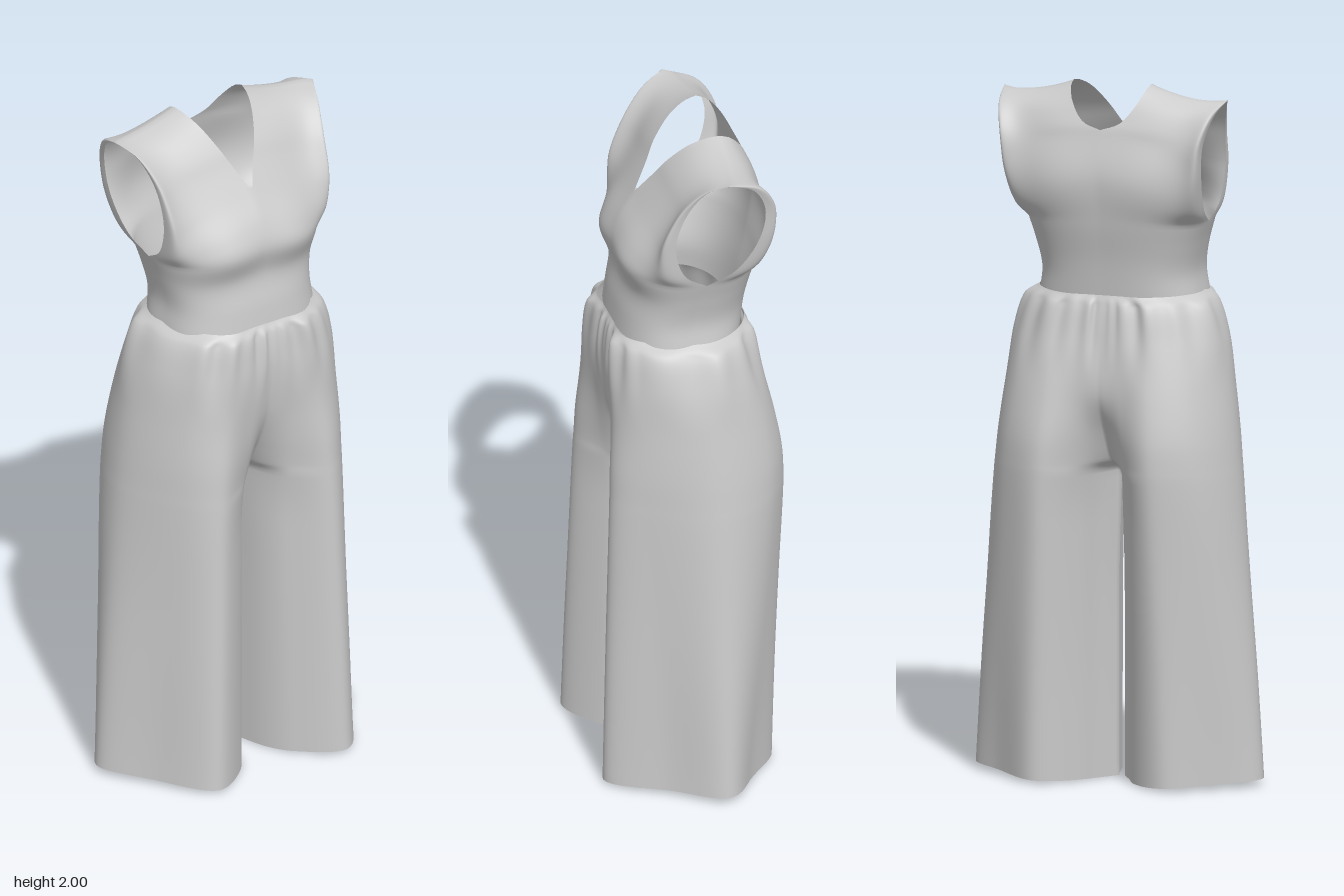
import * as THREE from 'three';
import { mergeGeometries, mergeVertices } from 'three/addons/utils/BufferGeometryUtils.js';

const { lerp, smoothstep } = THREE.MathUtils;
const spline = pts => new THREE.CatmullRomCurve3(pts.map(p => new THREE.Vector3(...p)));

// Grid surface from f(u, v) -> [x, y, z]; flip turns the faces, sx mirrors in x
function grid(nu, nv, f, flip, sx) {
  const pos = [], idx = [];
  for (let j = 0; j <= nv; j++) {
    for (let i = 0; i <= nu; i++) {
      const [x, y, z] = f(i / nu, j / nv);
      pos.push(sx * x, y, z);
    }
  }
  for (let j = 0; j < nv; j++) {
    for (let i = 0; i < nu; i++) {
      const a = j * (nu + 1) + i, b = a + 1, d = a + nu + 1, c = d + 1;
      if (flip !== (sx < 0)) idx.push(a, c, b, a, d, c);
      else idx.push(a, b, c, a, c, d);
    }
  }
  const g = new THREE.BufferGeometry();
  g.setAttribute('position', new THREE.Float32BufferAttribute(pos, 3));
  g.setIndex(idx);
  return g;
}

// Sew panels together into one smooth cloth mesh
function sew(name, panels) {
  const g = mergeVertices(mergeGeometries(panels), 1e-4);
  g.computeVertexNormals();
  const mesh = new THREE.Mesh(g, new THREE.MeshStandardMaterial({ color: 0xcccccc, side: THREE.DoubleSide }));
  mesh.name = name;
  return mesh;
}

// Bodice: each half panel spans from the centre line and neckline to the side seam and armhole.
// split: share of the panel height taken by the centre line; bump: [x, y, depth, radius]
const sideSeam = spline([[0.237, 1.39, 0], [0.228, 1.46, 0], [0.242, 1.54, -0.01], [0.26, 1.605, -0.02]]);
const frontPanel = {
  split: 0.6,
  centre: spline([[0, 1.39, 0.186], [0, 1.46, 0.178], [0, 1.55, 0.164], [0, 1.64, 0.182], [0, 1.71, 0.162], [0, 1.79, 0.115]]),
  neck: spline([[0, 1.79, 0.115], [0.035, 1.86, 0.07], [0.06, 1.91, 0.04], [0.09, 1.968, -0.015], [0.108, 1.994, -0.065],
    [0.115, 2.0, -0.1]]),
  armhole: spline([[0.26, 1.605, -0.02], [0.268, 1.65, 0.045], [0.275, 1.75, 0.075], [0.285, 1.86, 0.045],
    [0.31, 1.94, -0.01], [0.335, 1.965, -0.065]]),
  bump: [0.12, 1.66, 0.013, 0.09],
};
const backPanel = {
  split: 0.72,
  centre: spline([[0, 1.39, -0.17], [0, 1.5, -0.187], [0, 1.62, -0.212], [0, 1.75, -0.226], [0, 1.88, -0.2]]),
  neck: spline([[0, 1.88, -0.2], [0.055, 1.9, -0.19], [0.095, 1.95, -0.165], [0.112, 1.988, -0.13], [0.115, 2.0, -0.1]]),
  armhole: spline([[0.26, 1.605, -0.02], [0.275, 1.65, -0.1], [0.29, 1.75, -0.165], [0.3, 1.85, -0.18],
    [0.32, 1.93, -0.14], [0.335, 1.965, -0.065]]),
  bump: [0.17, 1.77, -0.018, 0.12],
};
const armholeStart = 0.36;
const railPoint = (low, high, split, v) =>
  v <= split + 1e-6 ? low.getPointAt(Math.min(1, v / split)) : high.getPointAt((v - split) / (1 - split));

function panelPoint({ split, centre, neck, armhole, bump }, u, v) {
  const a = railPoint(centre, neck, split, v);
  const b = railPoint(sideSeam, armhole, armholeStart, v);
  const s = Math.sin(u * Math.PI / 2), c = Math.pow(Math.max(0, 1 - s ** 2.6), 1 / 2.6);
  const x = lerp(a.x, b.x, s);
  // shoulder seam dips a little between neck and tip
  const y = lerp(a.y, b.y, s) - 0.05 * s * (1 - s) * smoothstep(v, 0.8, 1);
  // full torso section, drawn to the armhole edge only near that edge
  const side = lerp(-0.01, -0.065, smoothstep(v, 0.2, 1));
  const [bx, by, depth, r] = bump;
  const swell = depth * Math.exp(-((x - bx) ** 2 + (y - by) ** 2) / (r * r)) * (1 - s ** 6) * (1 - smoothstep(v, 0.8, 1));
  return [x, y, lerp(side, a.z, c) + (b.z - side) * s ** 6 + swell];
}

// Trousers: [y, half width, front lobe z, back lobe z, centre front z, centre back z]
const levels = [
  [1.403, 0.238, 0.189, -0.174, 0.189, -0.174],
  [1.375, 0.275, 0.206, -0.187, 0.2, -0.183],
  [1.28, 0.31, 0.217, -0.207, 0.21, -0.2],
  [1.12, 0.335, 0.225, -0.245, 0.19, -0.215],
  [1.0, 0.35, 0.235, -0.265, 0.14, -0.155],
  [0.92, 0.358, 0.238, -0.268, 0.08, -0.1],
  [0.88, 0.362, 0.24, -0.267, -0.02, -0.02],
  [0.6, 0.385, 0.25, -0.25, -0.02, -0.02],
  [0.3, 0.41, 0.26, -0.235, -0.02, -0.02],
  [0.004, 0.428, 0.268, -0.225, -0.02, -0.02],
];
const outerRail = spline(levels.map(l => [l[0], l[1], l[2]]));
const backRail = spline(levels.map(l => [l[0], l[3], 0]));
const innerRail = spline(levels.map(l => [l[0], l[4], l[5]]));
const crotchV = 6 / 9;

// Cross-section of one side at height v: an open arc above the crotch, a closed leg below
function section(v) {
  const { x: y, y: w, z: front } = outerRail.getPoint(v);
  const back = backRail.getPoint(v).y, inner = innerRail.getPoint(v);
  const below = v >= crotchV - 1e-6;
  const zf = below ? -0.02 : inner.y, zb = below ? -0.02 : inner.z;
  const xin = below ? 0.008 * smoothstep(v, crotchV, 0.8) : 0;
  // inner leg rounds off towards the crotch, outer leg forms lobes towards the hem
  const round = 1 - 0.33 * (1 - smoothstep(y, 0.75, 1.3));
  const flare = 1 - smoothstep(y, 0, 1.3), hips = 0.1 * Math.sin(Math.PI * Math.min(1, y / 1.403));
  const curve = spline([[xin, 0, zf], [0.2 * w, 0, round * front], [0.5 * w, 0, front],
    [0.77 * w, 0, lerp(0.73, 0.47, flare) * front], [w, 0, -0.03], [0.8 * w, 0, (lerp(0.72, 0.56, flare) + hips) * back],
    [0.47 * w, 0, back], [0.2 * w, 0, round * back], [xin, 0, zb]]);
  return { y, w, curve };
}

function trouserHalf(sx) {
  const rows = 72, rings = [];
  for (let j = 0; j <= rows; j++) rings.push(section(j / rows));
  return grid(96, rows, (u, v) => {
    const { y, w, curve } = rings[Math.round(v * rows)];
    const p = curve.getPoint(u);
    // gathers under the waist seam fade into broad folds towards the hem
    const edge = smoothstep(u, 0, 0.08) * (1 - smoothstep(u, 0.92, 1));
    const gather = 0.005 * smoothstep(1.403 - y, 0, 0.03) * smoothstep(y, 1.15, 1.38)
      * (Math.sin(u * 62 + sx) + Math.sin(u * 37));
    const fold = 0.005 * smoothstep(1.3 - y, 0, 0.6) * Math.sin(u * 25 + sx * 0.5);
    const dx = p.x - w * 0.45, dz = p.z, len = Math.hypot(dx, dz) || 1, d = (gather + fold) * edge;
    const hem = 0.02 * (p.x / w) * (1 - smoothstep(y, 0, 0.3));
    return [Math.max(p.x + dx / len * d, 0), y + hem, p.z + dz / len * d];
  }, true, sx);
}

export function createModel() {
  const group = new THREE.Group();
  group.name = 'jumpsuit';
  const panels = [];
  for (const sx of [1, -1]) {
    panels.push(grid(32, 50, (u, v) => panelPoint(frontPanel, u, v), false, sx));
    panels.push(grid(32, 50, (u, v) => panelPoint(backPanel, u, v), true, sx));
  }
  group.add(sew('bodice', panels));
  group.add(sew('trousers', [trouserHalf(1), trouserHalf(-1)]));
  return group;
}
